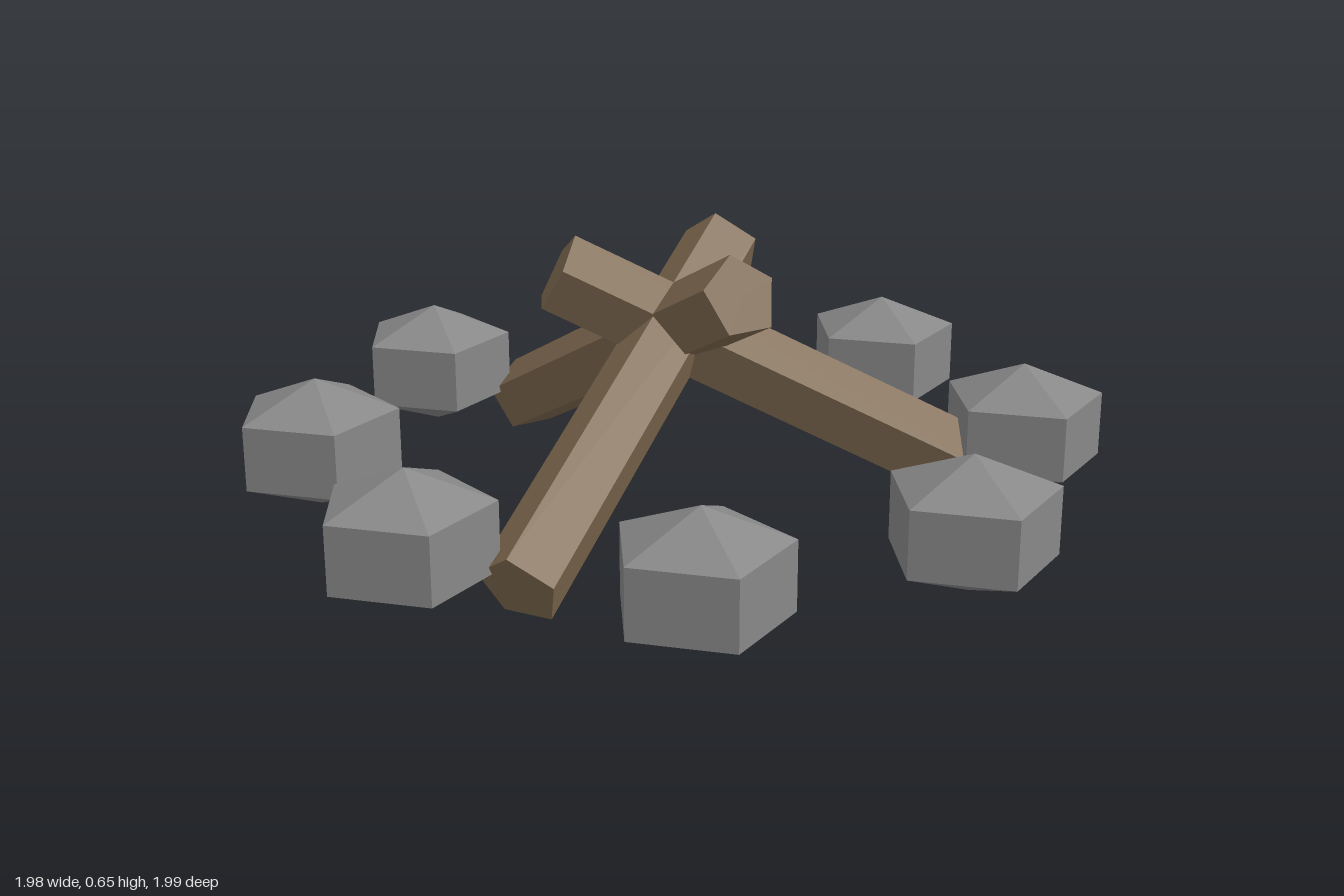
import * as THREE from 'three';

const CENTRE_X = -0.02;

export function createModel() {
  const model = new THREE.Group();
  model.name = 'campfire';
  const wood = new THREE.MeshStandardMaterial({ color: 0x7f6a50, flatShading: true });
  const rock = new THREE.MeshStandardMaterial({ color: 0x888888, flatShading: true });

  // Leaning five-sided log with one ridge on top, its foot pointing to +x
  const logGeometry = new THREE.CylinderGeometry(0.095, 0.095, 1.094, 5);
  logGeometry.rotateY(Math.PI / 2);
  logGeometry.rotateZ(THREE.MathUtils.degToRad(62.9));
  logGeometry.translate(0.223, 0.322, 0);

  // Three logs crossing near their tops
  const logs = new THREE.Group();
  logs.name = 'logs';
  logs.position.x = CENTRE_X;
  for (let i = 0; i < 3; i++) {
    const log = new THREE.Mesh(logGeometry, wood);
    log.name = `log${i + 1}`;
    log.rotation.y = (i * Math.PI * 2) / 3;
    logs.add(log);
  }

  // Squat five-sided stone with a corner towards +x
  const stoneGeometry = new THREE.SphereGeometry(0.217, 5, 3);
  stoneGeometry.rotateY(Math.PI);
  stoneGeometry.scale(1, 0.7, 1);

  // Ring of eight stones, all facing the same way
  const stones = new THREE.Group();
  stones.name = 'stoneRing';
  stones.position.x = CENTRE_X;
  for (let i = 0; i < 8; i++) {
    const angle = (i * Math.PI) / 4;
    const stone = new THREE.Mesh(stoneGeometry, rock);
    stone.name = `stone${i + 1}`;
    stone.position.set(0.818 * Math.cos(angle), 0.18, 0.818 * Math.sin(angle));
    stones.add(stone);
  }

  model.add(logs, stones);
  return model;
}
